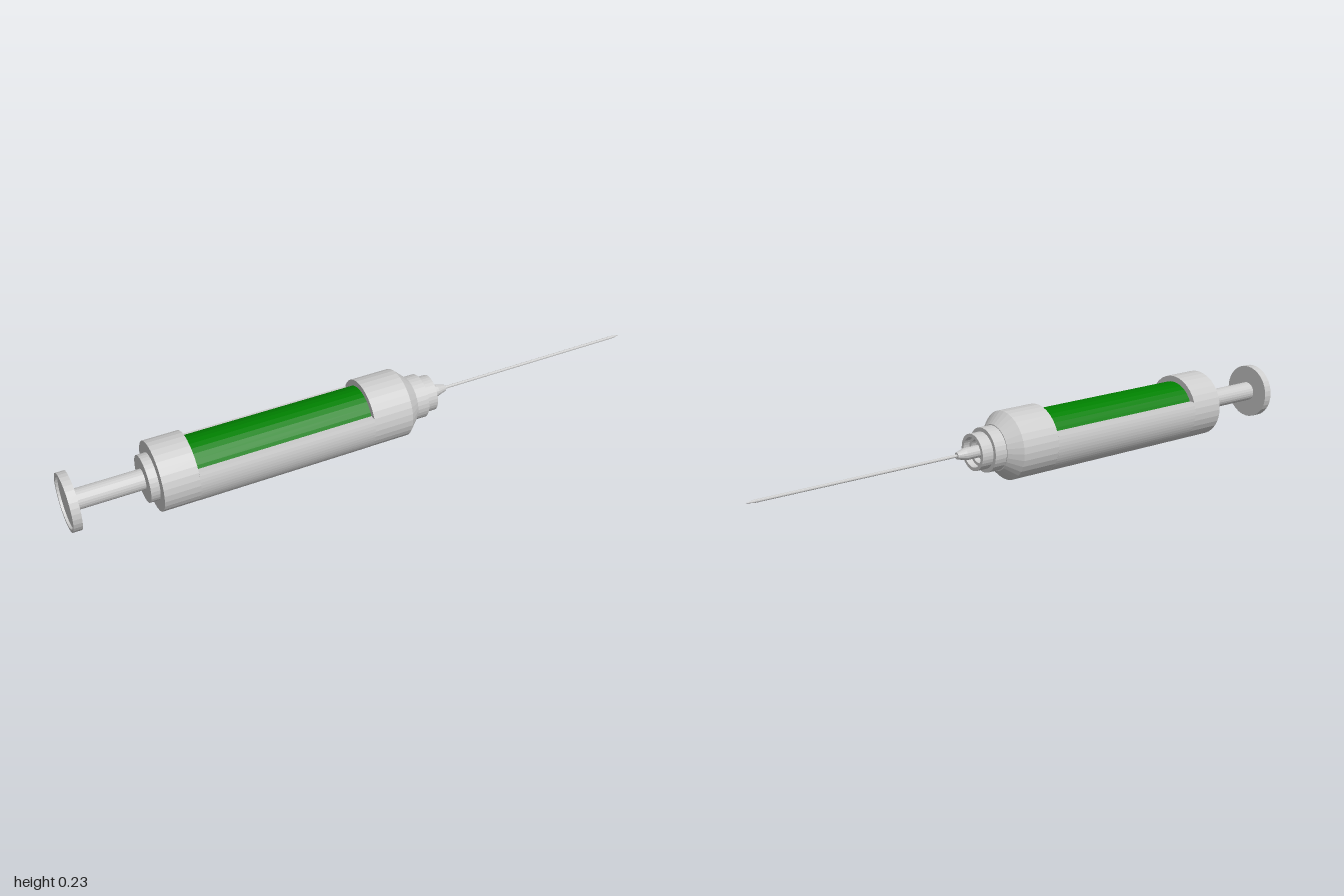
import * as THREE from 'three';

const grey = new THREE.MeshStandardMaterial({ color: 0xcccccc, flatShading: true });
const green = new THREE.MeshStandardMaterial({ color: 0x008000, flatShading: true });

const R = 0.113;       // barrel radius
const INNER = 0.095;   // barrel bore
const WIN = [-0.61, -0.02]; // window span along the barrel

export function createModel() {
  const syringe = new THREE.Group();
  syringe.name = 'syringe';

  // Turned part: profile of [x, radius] pairs from rear to tip
  const turned = (name, profile, material = grey, sides = 32) => {
    const points = profile.map(([x, r]) => new THREE.Vector2(r, x));
    const mesh = new THREE.Mesh(new THREE.LatheGeometry(points, sides), material);
    mesh.name = name;
    mesh.rotation.z = -Math.PI / 2;
    syringe.add(mesh);
  };

  // Plunger: thumb disc with shallow dish, and rod
  turned('thumbDisc', [[-0.992, 0], [-0.992, 0.083], [-1, 0.083], [-1, 0.093], [-0.972, 0.093], [-0.972, 0]]);
  turned('plungerRod', [[-0.98, 0.033], [-0.74, 0.033]], grey, 24);

  // Rear collar and barrel end
  turned('rearCollar', [[-0.755, 0], [-0.755, 0.076], [-0.72, 0.076]]);
  turned('barrelRear', [[-0.726, 0], [-0.726, R], [WIN[0], R], [WIN[0], 0]]);

  // Barrel wall around the open window, cut level along its upper edges
  const cut = 0.043;
  const a = Math.asin(cut / R), b = Math.asin(cut / INNER);
  const wall = new THREE.Shape();
  wall.absarc(0, 0, R, Math.PI - a, Math.PI * 2 + a, false);
  wall.absarc(0, 0, INNER, Math.PI * 2 + b, Math.PI - b, true);
  const wallGeo = new THREE.ExtrudeGeometry(wall, {
    depth: WIN[1] - WIN[0], bevelEnabled: false, curveSegments: 20,
  });
  const barrelWall = new THREE.Mesh(wallGeo, grey);
  barrelWall.name = 'barrelWall';
  barrelWall.rotation.y = Math.PI / 2;
  barrelWall.position.x = WIN[0];
  syringe.add(barrelWall);

  // Liquid seen through the window
  turned('liquid', [[WIN[0], 0.093], [WIN[1], 0.093]], green);

  // Front barrel end with chamfered shoulder
  turned('barrelFront', [[WIN[1], 0], [WIN[1], R], [0.115, R], [0.155, 0.076], [0.155, 0]]);

  // Stepped nozzle with a recessed mouth
  turned('nozzle', [
    [0.15, 0.073], [0.197, 0.073], [0.197, 0.06], [0.237, 0.06], [0.237, 0.049],
    [0.215, 0.049], [0.215, 0.039], [0.195, 0.039], [0.195, 0],
  ]);

  // Needle hub and needle
  turned('needleHub', [[0.19, 0.02], [0.265, 0.02], [0.295, 0.011], [0.295, 0]], grey, 16);
  turned('needle', [[0.28, 0.005], [0.975, 0.005], [1, 0]], grey, 10);

  // The whole body rests with a very slight tilt
  syringe.rotation.set(0, -0.0075, 0.009);
  syringe.position.set(0, 0.1205, 0.0015);

  const model = new THREE.Group();
  model.add(syringe);
  return model;
}
